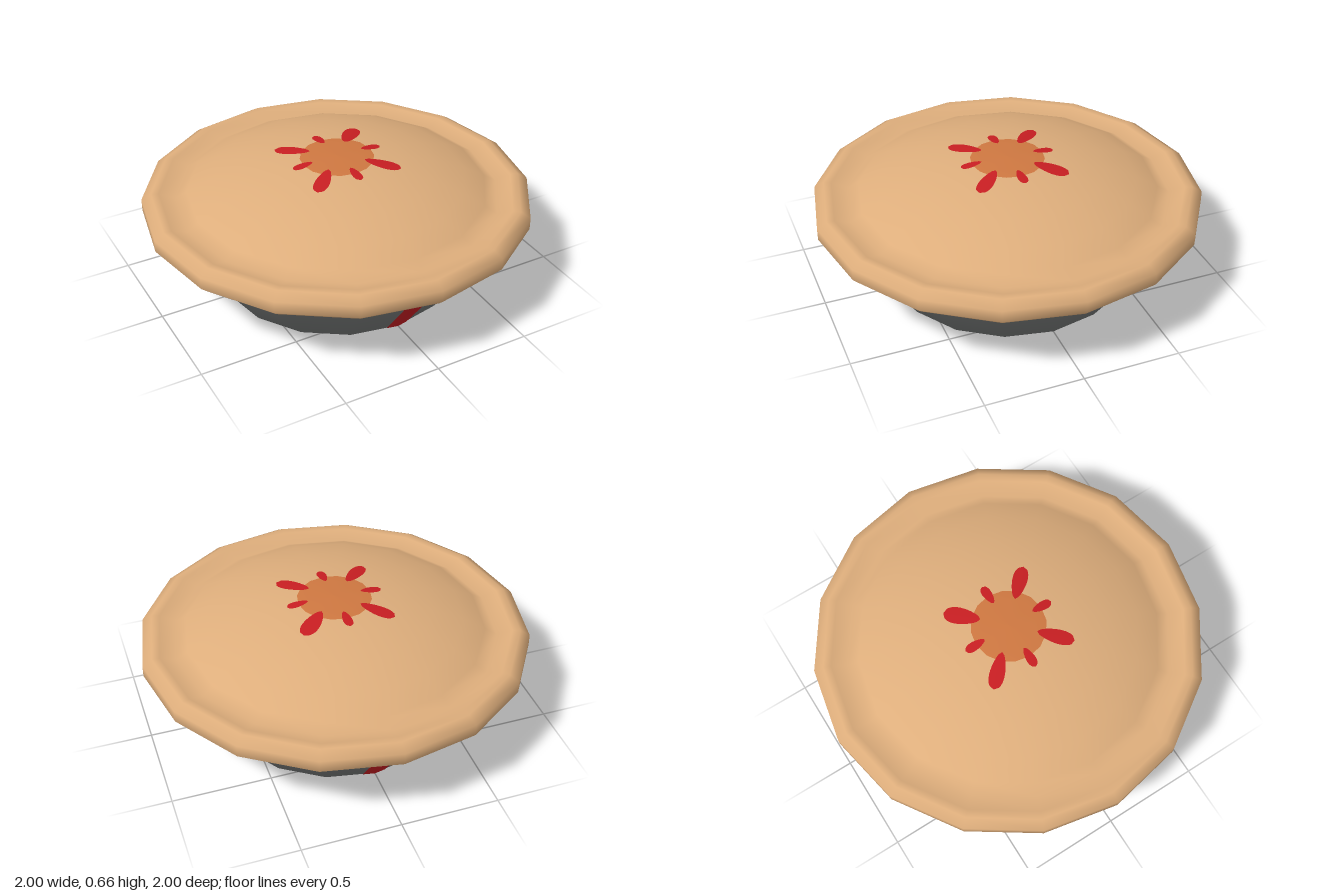
import * as THREE from 'three';

const SIDES = 16;
const material = (name, color, side = THREE.FrontSide) => {
  const m = new THREE.MeshStandardMaterial({ color, side });
  m.name = name;
  return m;
};
const points = (list) => list.map(([r, y]) => new THREE.Vector2(r, y));

// Dome of the crust, from the centre outwards: radius, height
const DOME = [[0, 0.655], [0.14, 0.651], [0.33, 0.63], [0.5, 0.592], [0.66, 0.543], [0.77, 0.49], [0.83, 0.457]];

// Height of the faceted dome above a point
function domeHeight(x, z) {
  let r = 0;
  for (let i = 0; i < SIDES; i++) {
    const a = ((i + 0.5) / SIDES) * Math.PI * 2;
    r = Math.max(r, (x * Math.sin(a) + z * Math.cos(a)) / Math.cos(Math.PI / SIDES));
  }
  for (let i = 1; i < DOME.length; i++) {
    const [r0, y0] = DOME[i - 1], [r1, y1] = DOME[i];
    if (r <= r1) return y0 + ((y1 - y0) * (r - r0)) / (r1 - r0);
  }
  return DOME[DOME.length - 1][1];
}

// Teardrop of filling laid on the dome, narrow towards the centre
function dropGeometry(angle, inner, outer, width) {
  const geo = new THREE.PlaneGeometry(1, 1, 14, 4).rotateX(-Math.PI / 2);
  const p = geo.attributes.position;
  const c = Math.cos(angle), s = Math.sin(angle);
  for (let i = 0; i < p.count; i++) {
    const t = p.getX(i) + 0.5;
    const along = inner + (outer - inner) * t;
    const bulge = Math.sqrt(Math.max(0, 1 - (2 * t - 1) ** 2)) * (0.55 + 0.45 * t);
    const across = p.getZ(i) * width * bulge;
    const x = along * c - across * s, z = along * s + across * c;
    p.setXYZ(i, x, domeHeight(x, z) + 0.006, z);
  }
  geo.computeVertexNormals();
  return geo;
}

// Painted stripe folded over the ridge of the tin wall
function stripeGeometry() {
  const geo = new THREE.PlaneGeometry(1, 1, 2, 1);
  const p = geo.attributes.position;
  for (let i = 0; i < p.count; i++) {
    const t = p.getY(i) + 0.5, side = p.getX(i);
    const x = side * 2 * (side < 0 ? 0.06 : 0.055 + 0.025 * t);
    const z = 0.63 + 0.26 * t - Math.abs(x) * Math.tan(Math.PI / SIDES) + 0.005;
    p.setXYZ(i, x, 0.001 + 0.369 * t, z);
  }
  geo.computeVertexNormals();
  return geo;
}

export function createModel() {
  const group = new THREE.Group();
  const crustMat = material('crust tan', 0xdeae7c);
  const tinMat = material('tin grey', 0x7a7d7c, THREE.DoubleSide);
  const redMat = material('filling red', 0xc81e22, THREE.DoubleSide);
  const orangeMat = material('centre orange', 0xcf7841);
  const add = (name, geo, mat) => {
    const mesh = new THREE.Mesh(geo, mat);
    mesh.name = name;
    group.add(mesh);
    return mesh;
  };

  // Tin with closed base
  add('tin', new THREE.LatheGeometry(points([[0, 0], [0.63, 0], [0.89, 0.372]]), SIDES), tinMat);

  // Stripes on the front and back of the tin
  for (const [name, turn] of [['frontStripe', 0], ['backStripe', Math.PI]]) {
    add(name, stripeGeometry(), redMat).rotation.y = turn;
  }

  // Crust: rolled rim, shallow valley and dome
  const rim = [[0.86, 0.37], [0.975, 0.372], [1, 0.396], [1, 0.458], [0.95, 0.488], [0.91, 0.486]];
  add('crust', new THREE.LatheGeometry(points([...rim, ...[...DOME].reverse()]), SIDES), crustMat);

  // Orange centre
  const disc = [[0.19, domeHeight(0, 0.19)], DOME[1], DOME[0]].map(([r, y]) => [r, y + 0.003]);
  add('centre', new THREE.LatheGeometry(points(disc), SIDES), orangeMat);

  // Drops around the centre: short on the axes, large on the diagonals
  for (let i = 0; i < 8; i++) {
    const diagonal = i % 2 === 1;
    const geo = diagonal
      ? dropGeometry((i * Math.PI) / 4, 0.145, 0.335, i === 7 ? 0.11 : 0.095)
      : dropGeometry((i * Math.PI) / 4, 0.14, 0.25, 0.06);
    add('fillingDrop', geo, redMat);
  }
  return group;
}
